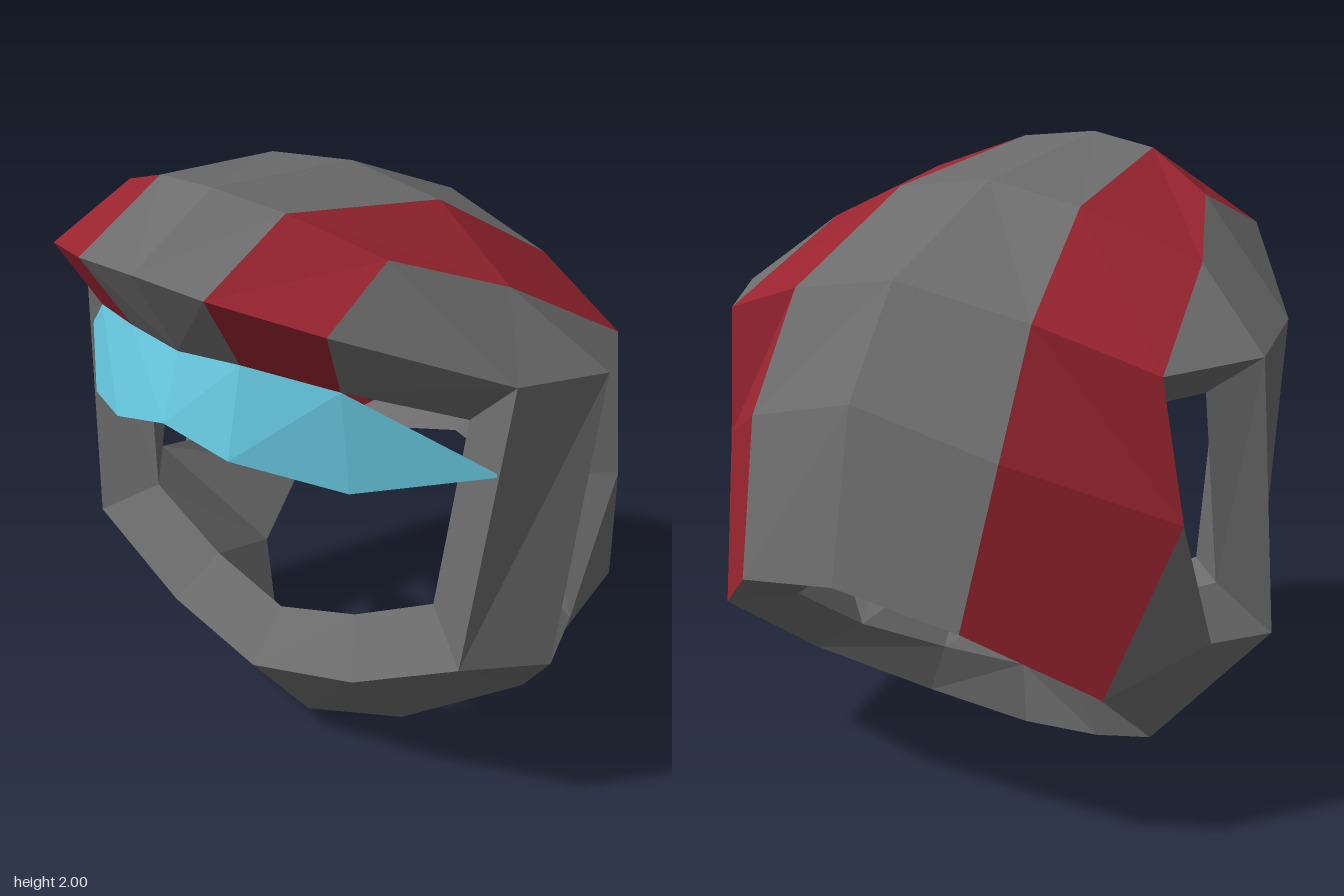
import * as THREE from 'three';

const mat = (name, color) => {
  const m = new THREE.MeshStandardMaterial({ color, flatShading: true, side: THREE.DoubleSide });
  m.name = name;
  return m;
};

// Mesh bridging pairs of point rows with quads, mirrored to both sides
function bridge(name, material, ...pairs) {
  const pos = [];
  const tri = (a, b, c) => {
    if (a === b || b === c || a === c) return;
    pos.push(...a, ...b, ...c);
    for (const [x, y, z] of [a, c, b]) pos.push(-x, y, z);
  };
  for (const [a, b] of pairs) {
    for (let i = 0; i < a.length - 1; i++) {
      tri(a[i], b[i], b[i + 1]);
      tri(a[i], b[i + 1], a[i + 1]);
    }
  }
  const geo = new THREE.BufferGeometry();
  geo.setAttribute('position', new THREE.Float32BufferAttribute(pos, 3));
  geo.computeVertexNormals();
  const mesh = new THREE.Mesh(geo, material);
  mesh.name = name;
  return mesh;
}

export function createModel() {
  const grey = mat('shell grey', 0x6c6c6c);
  const red = mat('stripe red', 0x98242f);
  const blue = mat('visor blue', 0x68cbe2);

  // Lengthwise lines of the shell: brim lip, brim edge, crown, then down the back
  const mid = [[0, 1.54, 0.72], [0, 1.83, 0.89], [0, 2, 0.56], [0, 1.92, -0.06],
    [0, 1.69, -0.57], [0, 1.36, -0.79], [0, 0.82, -0.89]];
  const inner = [[0.22, 1.55, 0.69], [0.25, 1.81, 0.86], [0.25, 1.97, 0.52], [0.34, 1.87, -0.07],
    [0.44, 1.6, -0.49], [0.46, 1.23, -0.69], [0.41, 0.74, -0.82]];
  const outer = [[0.49, 1.5, 0.56], [0.55, 1.73, 0.69], [0.52, 1.86, 0.39], [0.7, 1.72, 0.05],
    [0.81, 1.47, -0.37], [0.87, 1.02, -0.33], [0.73, 0.51, -0.54]];

  // Cheek pillar corners, outside and inside
  const browLip = [0.68, 1.34, 0.2], brow = [0.89, 1.53, 0.26], temple = [0.98, 1.49, -0.07];
  const cheek = [0.78, 0.58, 0.35], jaw = [0.95, 0.56, 0.11], ear = [0.86, 0.58, -0.12];
  const cheekIn = [0.6, 0.7, 0.25];

  // Chin and neck rings, from the middle of the chin round to the back
  const chinTop = [[0, 0.31, 0.43], [0.39, 0.39, 0.39], cheek];
  const chinIn = [[0, 0.47, 0.29], [0.3, 0.55, 0.27], cheekIn];
  const neckOut = [[0, 0, 0.16], [0.34, 0.07, 0.07], [0.67, 0.23, -0.15], outer[6], inner[6], mid[6]];
  const neckIn = [[0, 0.22, 0.14], [0.26, 0.26, 0.04], [0.47, 0.36, -0.15], [0.53, 0.54, -0.41],
    [0.29, 0.7, -0.6], [0, 0.77, -0.63]];

  // Side slit: outer loop and recessed loop
  const slitOut = [temple, jaw, ear, outer[5], outer[4], temple];
  const s = [[0.8, 1.36, -0.09], [0.78, 0.71, 0.05], [0.72, 0.71, -0.1], [0.7, 1.02, -0.17], [0.7, 1.34, -0.23]];
  const slitIn = [...s, s[0]];

  // Visor edges
  const visorTop = [mid[0], inner[0], outer[0], [0.86, 1.24, 0.27]];
  const visorLow = [[0, 1.33, 0.79], [0.23, 1.27, 0.76], [0.53, 1.19, 0.57], visorTop[3]];
  const visorIn = [0.37, 1.19, 0.55];

  const g = new THREE.Group();
  g.name = 'helmet';
  g.add(
    bridge('crownPanel', grey, [mid, inner]),
    bridge('stripes', red, [inner, outer]),
    bridge('sidePanels', grey,
      [[outer[0], outer[1]], [browLip, brow]],
      [[outer[1], outer[2], outer[3]], [brow, brow, brow]],
      [[outer[3], outer[4]], [brow, temple]]),
    bridge('cheekPillars', grey,
      [[temple, jaw], [brow, cheek]],
      [[brow, cheek], [browLip, cheekIn]],
      [[browLip, cheekIn], [s[0], s[1]]]),
    bridge('slitFrames', grey, [slitOut, slitIn]),
    bridge('jawPanels', grey,
      [[cheek, jaw, ear], [neckOut[2], neckOut[2], neckOut[2]]],
      [[ear, outer[5]], [neckOut[2], outer[6]]]),
    bridge('chinGuard', grey,
      [neckOut.slice(0, 3), chinTop],
      [chinTop, chinIn],
      [chinIn, neckIn.slice(0, 3)]),
    bridge('innerJaw', grey,
      [[cheekIn, s[1], s[2]], [neckIn[2], neckIn[2], neckIn[3]]]),
    bridge('neckRim', grey, [neckIn, neckOut]),
    bridge('visor', blue, [visorLow, visorTop]),
    bridge('visorUnderside', blue,
      [[visorIn, visorIn, visorIn], visorLow.slice(0, 3)]),
  );
  return g;
}
